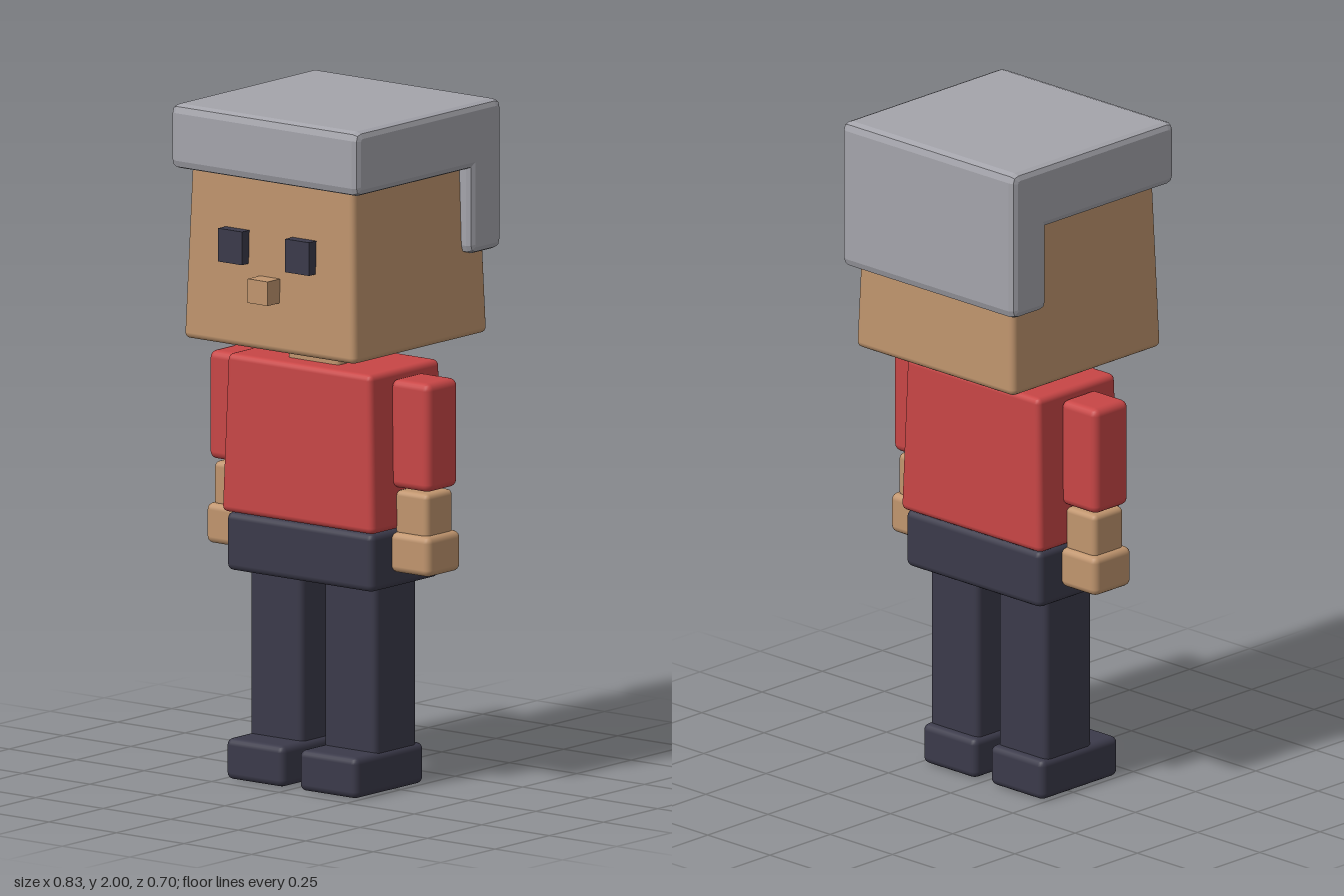
import * as THREE from 'three';
import { RoundedBoxGeometry } from 'three/addons/geometries/RoundedBoxGeometry.js';

const mat = (name, color) => {
  const m = new THREE.MeshStandardMaterial({ color });
  m.name = name;
  return m;
};

export function createModel() {
  const skin = mat('skin', 0xc0956e);
  const shirt = mat('red shirt', 0xc84646);
  const dark = mat('dark navy', 0x3b3a4a);
  const grey = mat('grey hair', 0xa4a4ab);
  const root = new THREE.Group();
  root.name = 'figure';

  const add = (name, geometry, material) => {
    const mesh = new THREE.Mesh(geometry, material);
    mesh.name = name;
    root.add(mesh);
    return mesh;
  };

  // Box between min and max corners; radius 0 gives sharp edges, taper scales the top
  const block = (name, material, [x0, x1], [y0, y1], [z0, z1], radius = 0.018, taper = 1) => {
    const w = x1 - x0, h = y1 - y0, d = z1 - z0;
    const g = radius ? new RoundedBoxGeometry(w, h, d, 2, radius) : new THREE.BoxGeometry(w, h, d);
    const p = g.attributes.position;
    for (let i = 0; i < p.count; i++) {
      const s = THREE.MathUtils.lerp(1, taper, p.getY(i) / h + 0.5);
      p.setX(i, p.getX(i) * s);
      p.setZ(i, p.getZ(i) * s);
    }
    add(name, g, material).position.set((x0 + x1) / 2, (y0 + y1) / 2, (z0 + z1) / 2);
  };

  // Head, neck and face
  block('head', skin, [-0.318, 0.318], [1.31, 1.9], [-0.319, 0.299], 0.018, 0.94);
  block('neck', skin, [-0.096, 0.096], [1.23, 1.33], [-0.096, 0.096], 0.015);
  block('nose', skin, [-0.037, 0.037], [1.457, 1.528], [0.27, 0.349], 0);

  // Hair: L-shaped side profile (z, y) with rounded outer corners, extruded across the head
  const r = 0.025, bevel = 0.02, width = 0.692;
  const hair = new THREE.Shape();
  hair.moveTo(0.323 - r, 2);
  hair.lineTo(-0.347 + r, 2);
  hair.quadraticCurveTo(-0.347, 2, -0.347, 2 - r);
  hair.lineTo(-0.347, 1.558 + r);
  hair.quadraticCurveTo(-0.347, 1.558, -0.347 + r, 1.558);
  hair.lineTo(-0.205 - r, 1.558);
  hair.quadraticCurveTo(-0.205, 1.558, -0.205, 1.558 + r);
  hair.lineTo(-0.205, 1.81);
  hair.lineTo(0.323 - r, 1.81);
  hair.quadraticCurveTo(0.323, 1.81, 0.323, 1.81 + r);
  hair.lineTo(0.323, 2 - r);
  hair.quadraticCurveTo(0.323, 2, 0.323 - r, 2);
  const hairGeometry = new THREE.ExtrudeGeometry(hair, {
    depth: width - 2 * bevel, curveSegments: 2, bevelEnabled: true,
    bevelThickness: bevel, bevelSize: bevel, bevelOffset: -bevel, bevelSegments: 2,
  });
  hairGeometry.translate(0, 0, bevel - width / 2).rotateY(-Math.PI / 2);
  add('hair', hairGeometry, grey);

  // Body
  block('torso', shirt, [-0.282, 0.282], [0.783, 1.25], [-0.17, 0.17], 0.018, 0.945);
  block('hips', dark, [-0.272, 0.272], [0.61, 0.782], [-0.16, 0.16], 0.02);

  // Mirrored parts
  for (const [side, s] of [['left', 1], ['right', -1]]) {
    const span = (a, b) => (s > 0 ? [a, b] : [-b, -a]);
    block(side + 'Eye', dark, span(0.08, 0.168), [1.558, 1.656], [0.27, 0.322], 0);
    block(side + 'Sleeve', shirt, span(0.265, 0.409), [0.907, 1.227], [-0.071, 0.071], 0.022);
    block(side + 'Forearm', skin, span(0.275, 0.397), [0.765, 0.9], [-0.061, 0.061], 0.016);
    block(side + 'Hand', skin, span(0.268, 0.414), [0.659, 0.778], [-0.077, 0.077], 0.02);
    block(side + 'Leg', dark, span(0.04, 0.234), [0.1, 0.64], [-0.097, 0.097]);
    block(side + 'Shoe', dark, span(0.028, 0.243), [0.004, 0.125], [-0.12, 0.198], 0.02);
  }

  return root;
}
